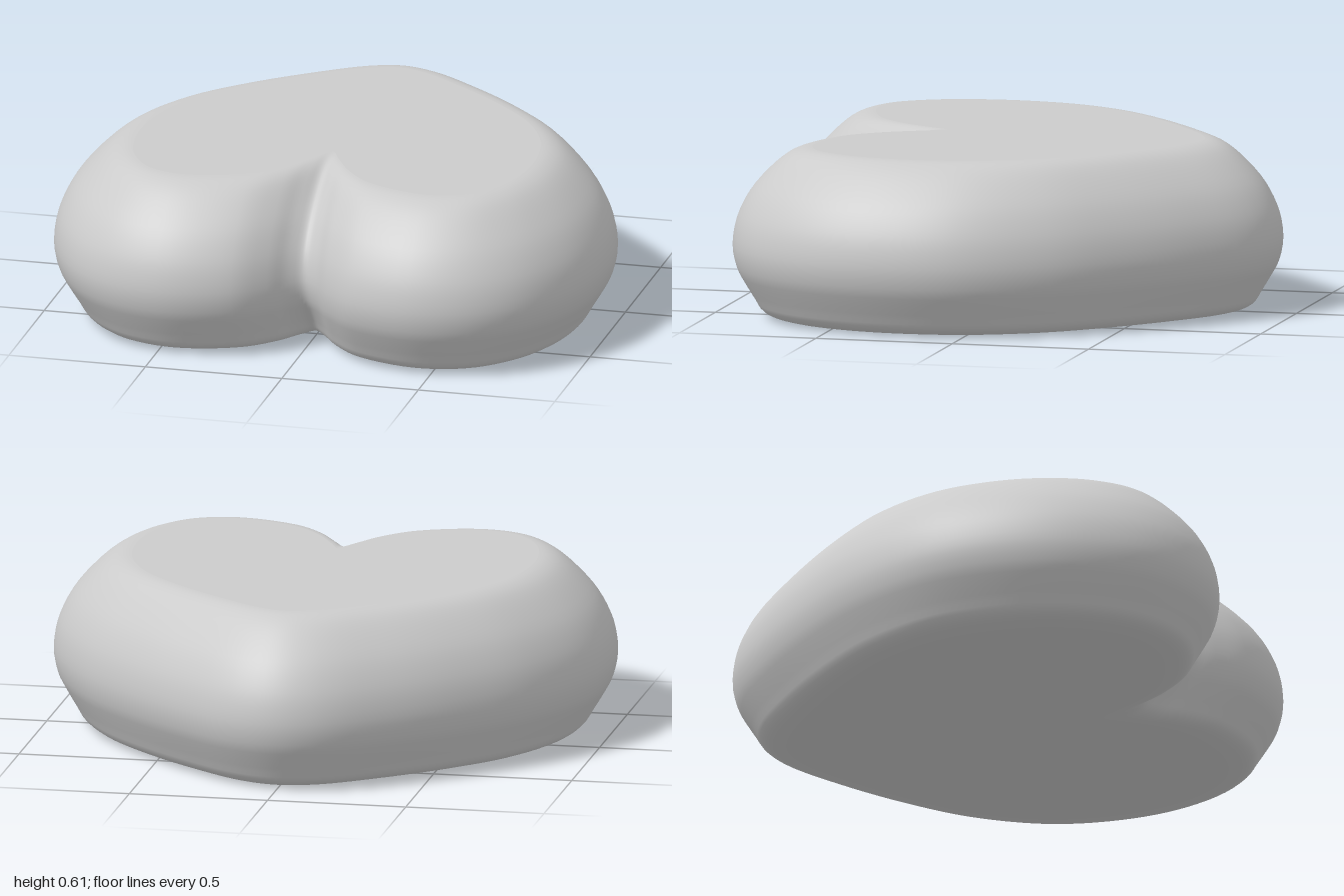
import * as THREE from 'three';

// Right half of the heart outline [x, z], from the front notch round to the rear tip.
// OUTER is the widest outline, INNER the edge of the flat top; points correspond.
const OUTER = [[0, 0.69], [0.05, 0.72], [0.11, 0.79], [0.22, 0.88], [0.44, 0.935], [0.65, 0.89], [0.82, 0.765],
  [0.95, 0.54], [1, 0.27], [0.97, -0.01], [0.82, -0.31], [0.62, -0.54], [0.4, -0.74], [0.17, -0.9], [0, -0.94]];
const INNER = [[0, 0.28], [0.04, 0.35], [0.11, 0.47], [0.22, 0.58], [0.44, 0.65], [0.58, 0.61], [0.67, 0.49],
  [0.71, 0.35], [0.72, 0.2], [0.69, 0], [0.6, -0.19], [0.45, -0.36], [0.26, -0.52], [0.1, -0.63], [0, -0.66]];

// Side profile [spread from INNER (0) to OUTER (1), height]
const PROFILE = [[0.32, 0], [0.5, 0.008], [0.64, 0.03], [0.73, 0.07], [0.86, 0.13], [0.95, 0.18], [1, 0.25],
  [0.97, 0.33], [0.88, 0.4], [0.73, 0.47], [0.5, 0.54], [0.3, 0.585], [0.13, 0.605], [0, 0.61]];

const AROUND = 140;
const LEVELS = 36;

// Mirror a half outline and sample it as a smooth closed loop
function outline(half) {
  const left = half.slice(1, -1).reverse().map(([x, z]) => [-x, z]);
  const points = [...half, ...left].map(([x, z]) => new THREE.Vector3(x, 0, z));
  const curve = new THREE.CatmullRomCurve3(points, true, 'centripetal');
  return Array.from({ length: AROUND }, (_, i) => curve.getPoint(i / AROUND));
}

// Flat heart-shaped face closing a ring
function cap(ring, up) {
  const shape = new THREE.Shape(ring.map((p) => new THREE.Vector2(p.x, up ? -p.z : p.z)));
  const geometry = new THREE.ShapeGeometry(shape);
  geometry.rotateX(up ? -Math.PI / 2 : Math.PI / 2);
  geometry.translate(0, ring[0].y, 0);
  return geometry;
}

export function createModel() {
  const group = new THREE.Group();
  group.name = 'heartCushion';
  const material = new THREE.MeshStandardMaterial({ color: 0xcccccc });
  const add = (name, geometry) => {
    const mesh = new THREE.Mesh(geometry, material);
    mesh.name = name;
    group.add(mesh);
  };

  // Stack of rings blended between the two outlines
  const inner = outline(INNER);
  const outer = outline(OUTER);
  const profile = new THREE.SplineCurve(PROFILE.map(([s, y]) => new THREE.Vector2(s, y)));
  const rings = Array.from({ length: LEVELS + 1 }, (_, j) => {
    const { x: spread, y } = profile.getPoint(j / LEVELS);
    return inner.map((p, i) => p.clone().lerp(outer[i], spread).setY(Math.max(0, y)));
  });

  // Rounded side wall
  const index = [];
  for (let j = 0; j < LEVELS; j++) {
    for (let i = 0; i < AROUND; i++) {
      const a = j * AROUND + i;
      const b = j * AROUND + ((i + 1) % AROUND);
      index.push(a, b, b + AROUND, a, b + AROUND, a + AROUND);
    }
  }
  const side = new THREE.BufferGeometry().setFromPoints(rings.flat());
  side.setIndex(index);
  side.computeVertexNormals();
  add('roundedSide', side);

  // Flat top and base
  add('topFace', cap(rings[LEVELS], true));
  add('baseFace', cap(rings[0], false));
  return group;
}
